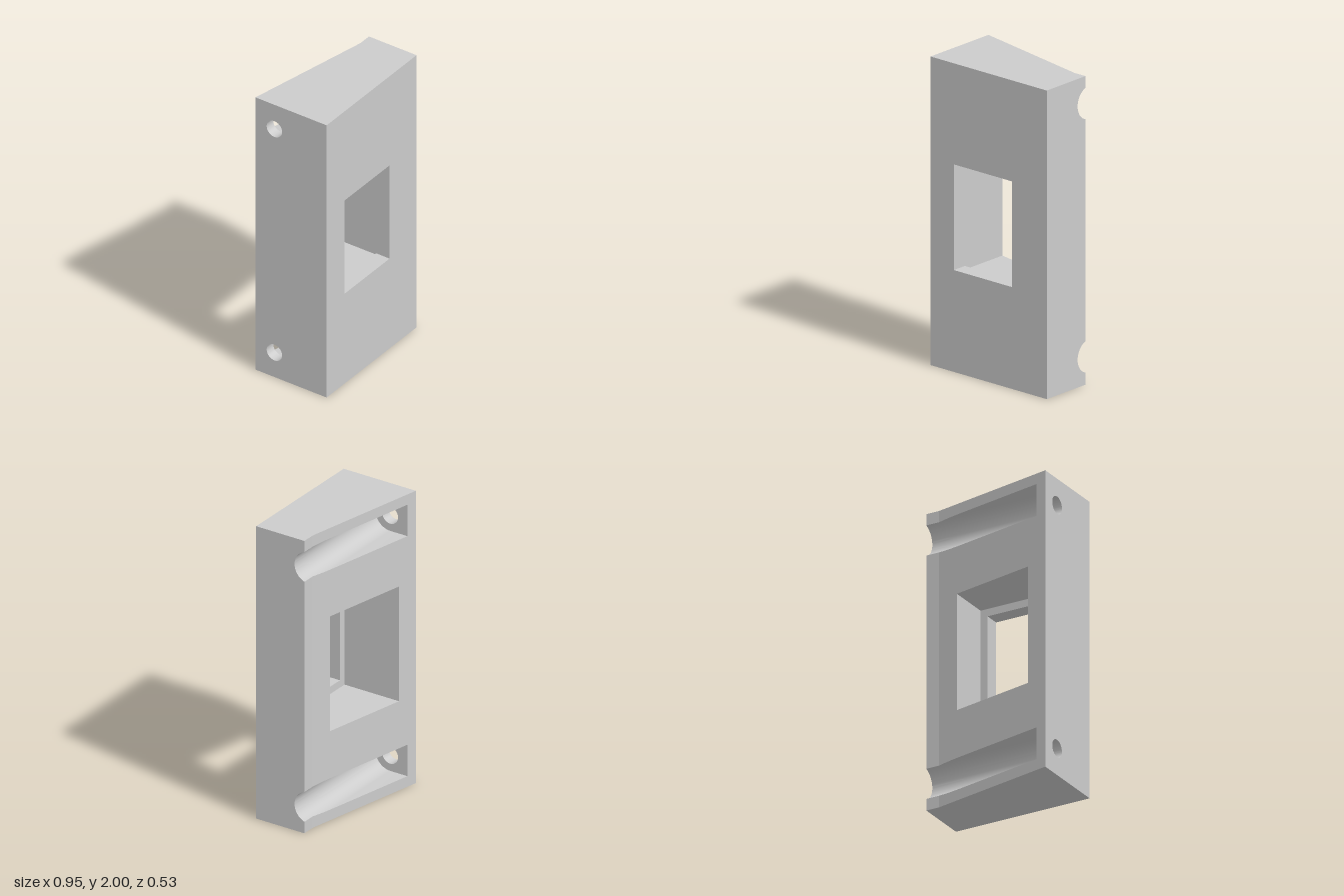
import * as THREE from 'three';
import { mergeGeometries, toCreasedNormals } from 'three/addons/utils/BufferGeometryUtils.js';

// Block: flat front, back sloping in x with a short flat strip at the thin end
const W = 0.475, H = 2, FRONT = 0.267, THIN = -0.09, BEND = 0.385;
const SLOPE = (FRONT + THIN) / (W + BEND);
const backZ = (x) => (x >= BEND ? THIN : -FRONT + (x + W) * SLOPE);

// Grooves: U-shaped channels along x, each ending at a wall with a bore
const GROOVES = [0.18, 1.822], GZ = -0.125, GR = 0.1075, BORE = 0.058, STOP = -0.405;

// Window: opening in the front, wider pocket behind it
const OPEN = [-0.285, 0.19, 0.66, 1.345], LEDGE = 0.165, RIM = 0.05;

const v2 = (list) => list.map(([a, b]) => new THREE.Vector2(a, b));

// Flat panel from a 2D outline, placed in space by map(u, v)
function panel(outline, holes, map, flip) {
  const shape = new THREE.Shape(v2(outline));
  holes.forEach((h) => shape.holes.push(new THREE.Path(v2(h))));
  const geo = new THREE.ShapeGeometry(shape);
  const p = geo.attributes.position;
  for (let i = 0; i < p.count; i++) p.setXYZ(i, ...map(p.getX(i), p.getY(i)));
  const idx = Array.from(geo.index.array);
  if (flip) idx.reverse();
  geo.setIndex(idx);
  geo.deleteAttribute('uv');
  geo.deleteAttribute('normal');
  return geo.toNonIndexed();
}

// Skin stretched over successive rows of 3D points
function loft(rows) {
  const pos = [];
  for (let i = 0; i + 1 < rows.length; i++) {
    for (let j = 0; j + 1 < rows[i].length; j++) {
      const a = rows[i][j], b = rows[i][j + 1], c = rows[i + 1][j + 1], d = rows[i + 1][j];
      pos.push(...a, ...b, ...c, ...a, ...c, ...d);
    }
  }
  const geo = new THREE.BufferGeometry();
  geo.setAttribute('position', new THREE.Float32BufferAttribute(pos, 3));
  return geo;
}

// Points [z, y] on an arc round a groove axis
function arc(cy, r, from, to, n) {
  return Array.from({ length: n + 1 }, (_, i) => {
    const a = from + ((to - from) * i) / n;
    return [GZ + r * Math.cos(a), cy + r * Math.sin(a)];
  });
}

// Half width of the groove mouth, and the groove section [z, y], at station x
const past = (x) => Math.max(0, backZ(x) - GZ);
const mouth = (x) => Math.sqrt(GR * GR - past(x) ** 2);
function section(x, cy) {
  const a = Math.acos(past(x) / GR), h = mouth(x), z = backZ(x);
  return [[z, cy - h], ...arc(cy, GR, -a, a, 32), [z, cy + h]];
}

// Stations along the groove, finer where the back cuts below its axis
const tangentX = -W + (GZ + FRONT) / SLOPE;
const stations = [STOP];
for (let i = 0; i <= 6; i++) stations.push(tangentX + ((BEND - tangentX) * i) / 6);

const rect = ([x0, x1, y0, y1]) => [[x0, y0], [x1, y0], [x1, y1], [x0, y1]];
const circle = (cy) => arc(cy, BORE, 0, Math.PI * 2, 48);
const POCKET = [OPEN[0] - RIM, OPEN[1] + RIM, OPEN[2] - RIM, OPEN[3] + RIM];

export function createModel() {
  const group = new THREE.Group();
  const parts = [];
  const atX = (x) => (z, y) => [x, y, z];
  const atY = (y) => (x, z) => [x, y, z];
  const onBack = (x, y) => [x, y, backZ(x)];

  // Front face
  parts.push(panel(rect([-W, W, 0, H]), [rect(OPEN)], (x, y) => [x, y, FRONT], false));

  // Sloping back with groove mouths and pocket
  const slope = [[-W, 0], [BEND, 0]];
  for (const cy of GROOVES) {
    for (const x of [...stations].reverse()) slope.push([x, cy - mouth(x)]);
    for (const x of stations) slope.push([x, cy + mouth(x)]);
  }
  slope.push([BEND, H], [-W, H]);
  parts.push(panel(slope, [rect(POCKET)], onBack, true));

  // Flat strip at the thin end, between the grooves
  const m = mouth(W);
  const levels = [0, ...GROOVES.flatMap((cy) => [cy - m, cy + m]), H];
  for (let i = 0; i < levels.length; i += 2) {
    parts.push(panel(rect([BEND, W, levels[i], levels[i + 1]]), [], onBack, true));
  }

  // Top and bottom
  const plan = [[-W, -FRONT], [BEND, THIN], [W, THIN], [W, FRONT], [-W, FRONT]];
  parts.push(panel(plan, [], atY(H), true), panel(plan, [], atY(0), false));

  // Thick side with bores, thin side with groove ends
  parts.push(panel(rect([-FRONT, FRONT, 0, H]), GROOVES.map((cy) => circle(cy).slice(0, -1)), atX(-W), false));
  const notches = [...GROOVES].reverse().flatMap((cy) => section(W, cy).reverse());
  parts.push(panel([[THIN, 0], [FRONT, 0], [FRONT, H], [THIN, H], ...notches], [], atX(W), true));

  // Groove channels, end walls and bores
  for (const cy of GROOVES) {
    const row = (x, pts) => pts.map(([z, y]) => [x, y, z]);
    parts.push(loft([...stations, W].map((x) => row(x, section(x, cy)))));
    parts.push(panel(section(STOP, cy), [circle(cy).slice(0, -1)], atX(STOP), true));
    parts.push(loft([-W, STOP].map((x) => row(x, circle(cy)))));
  }

  // Window walls, ledge and pocket walls
  const ring = (r, z) => [...rect(r), rect(r)[0]].map(([x, y]) => [x, y, z(x)]);
  parts.push(loft([
    ring(OPEN, () => FRONT), ring(OPEN, () => LEDGE),
    ring(POCKET, () => LEDGE), ring(POCKET, backZ),
  ]));

  const geometry = toCreasedNormals(mergeGeometries(parts), 0.16);
  const body = new THREE.Mesh(geometry, new THREE.MeshStandardMaterial({ color: 0xcccccc }));
  body.name = 'wedgeBlock';
  group.add(body);
  return group;
}
